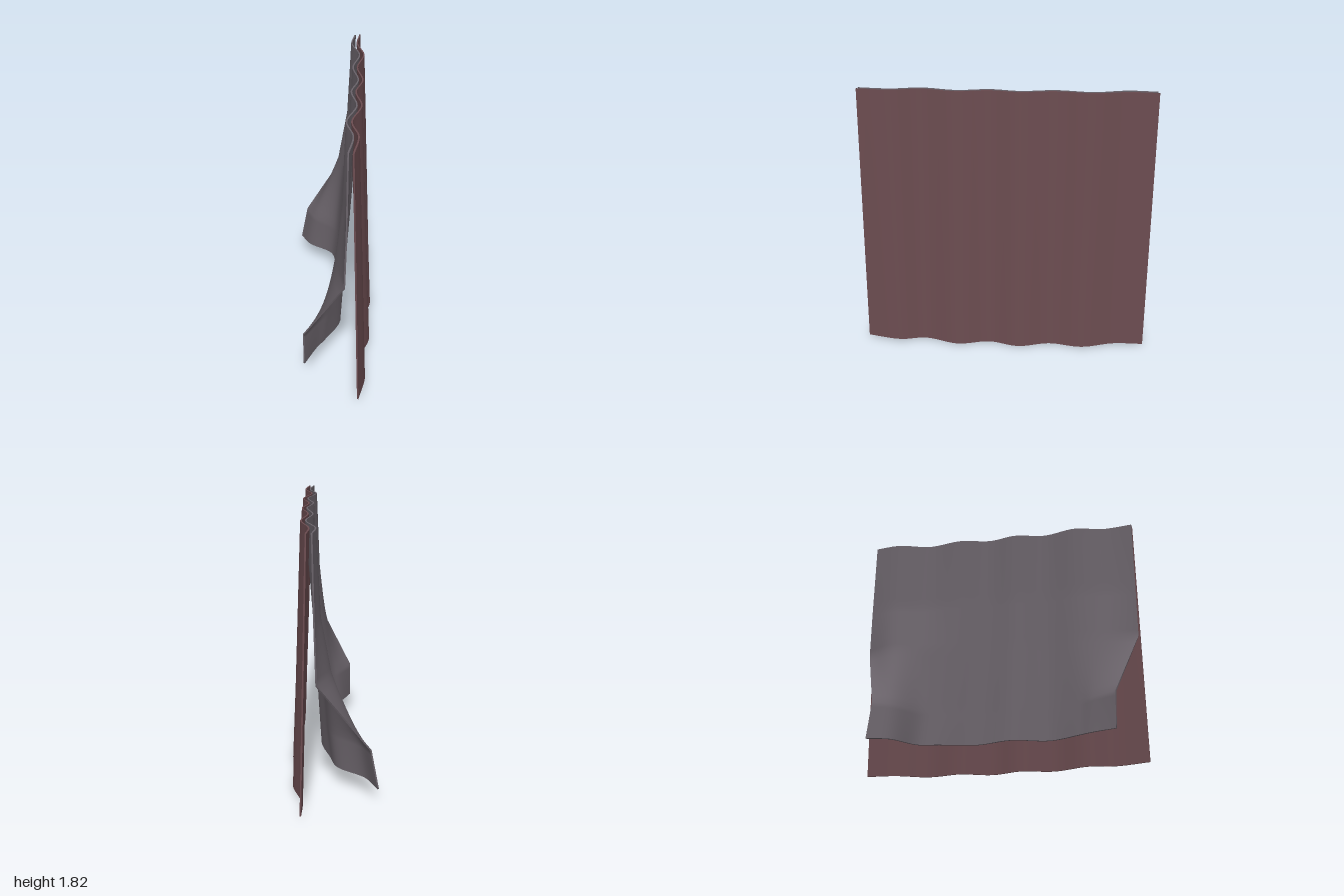
import * as THREE from 'three';

const ACROSS = 72, PER_ROW = 8, THICKNESS = 0.01;

// Thin cloth shell lofted through rows of [x, z] points, each row at its own height
function clothSheet(rows, hem, color, name) {
  const curves = rows.map(r => new THREE.CatmullRomCurve3(
    r.points.map(([x, z]) => new THREE.Vector3(x, r.y, z))));
  const down = (rows.length - 1) * PER_ROW, stride = ACROSS + 1;
  const face = [], index = [];
  for (let j = 0; j <= down; j++) {
    const k = Math.min(Math.floor(j / PER_ROW), rows.length - 2);
    const t = j / PER_ROW - k;
    for (let i = 0; i <= ACROSS; i++) {
      const u = i / ACROSS;
      const p = curves[k].getPoint(u).lerp(curves[k + 1].getPoint(u), t);
      p.y += k === rows.length - 2 ? hem(u * 2 - 1) * t : 0;
      face.push(p.x, p.y, p.z);
    }
  }
  for (let j = 0; j < down; j++) for (let i = 0; i < ACROSS; i++) {
    const a = j * stride + i, b = a + 1, c = a + stride, d = c + 1;
    index.push(a, b, c, b, d, c);
  }
  const front = new THREE.BufferGeometry();
  front.setAttribute('position', new THREE.Float32BufferAttribute(face, 3));
  front.setIndex(index);
  front.computeVertexNormals();
  const n = front.attributes.normal.array, count = face.length / 3;

  // both faces, half the thickness to either side
  const position = [...face.map((v, i) => v + n[i] * THICKNESS / 2),
    ...face.map((v, i) => v - n[i] * THICKNESS / 2)];
  const all = [...index];
  for (let i = 0; i < index.length; i += 3) {
    all.push(index[i] + count, index[i + 2] + count, index[i + 1] + count);
  }
  // rim with its own vertices so the hem stays sharp
  const border = [];
  for (let i = 0; i < ACROSS; i++) border.push(i);
  for (let j = 0; j < down; j++) border.push(j * stride + ACROSS);
  for (let i = ACROSS; i > 0; i--) border.push(down * stride + i);
  for (let j = down; j > 0; j--) border.push(j * stride);
  const base = position.length / 3;
  for (const v of border) for (const side of [0, count]) {
    const q = (v + side) * 3;
    position.push(position[q], position[q + 1], position[q + 2]);
  }
  border.forEach((_, i) => {
    const a = base + i * 2, b = base + ((i + 1) % border.length) * 2;
    all.push(a, a + 1, b, b, a + 1, b + 1);
  });
  const geometry = new THREE.BufferGeometry();
  geometry.setAttribute('position', new THREE.Float32BufferAttribute(position, 3));
  geometry.setIndex(all);
  geometry.computeVertexNormals();
  const mesh = new THREE.Mesh(geometry,
    new THREE.MeshStandardMaterial({ color, side: THREE.DoubleSide }));
  mesh.name = name;
  return mesh;
}

export function createModel() {
  const group = new THREE.Group();
  group.name = 'hangingCloth';

  // straight outer panel with soft vertical pleats
  group.add(clothSheet([
    { y: 1.828, points: [[0.165, -0.995], [0.15, -0.8], [0.2, -0.57], [0.16, -0.32], [0.2, -0.09],
      [0.16, 0.11], [0.2, 0.33], [0.145, 0.57], [0.19, 0.77], [0.165, 0.995]] },
    { y: 0.005, points: [[0.215, -0.975], [0.21, -0.77], [0.27, -0.54], [0.23, -0.31], [0.283, -0.09],
      [0.23, 0.12], [0.28, 0.34], [0.215, 0.58], [0.255, 0.76], [0.215, 0.995]] },
  ], s => 0.014 * s * s, 0x6b4c50, 'outerPanel'));

  // inner panel whose lower corners fold outwards
  group.add(clothSheet([
    { y: 1.828, points: [[0.13, -0.985], [0.11, -0.8], [0.17, -0.57], [0.13, -0.32], [0.17, -0.09],
      [0.13, 0.11], [0.17, 0.33], [0.113, 0.57], [0.158, 0.77], [0.135, 0.99]] },
    { y: 1.28, points: [[0.12, -0.985], [0.085, -0.8], [0.13, -0.57], [0.11, -0.32], [0.145, -0.09],
      [0.11, 0.11], [0.145, 0.32], [0.095, 0.57], [0.12, 0.78], [0.13, 0.985]] },
    { y: 0.9, points: [[0.11, -0.98], [0.02, -0.78], [0.06, -0.57], [0.08, -0.33], [0.12, -0.1],
      [0.08, 0.11], [0.12, 0.32], [0.06, 0.57], [0.06, 0.76], [0.12, 0.98]] },
    { y: 0.4, points: [[-0.235, -0.82], [-0.17, -0.69], [0, -0.53], [0.045, -0.36], [0.09, -0.13],
      [0.035, 0.1], [0.085, 0.33], [0, 0.56], [-0.06, 0.65], [-0.15, 0.81]] },
    { y: 0.16, points: [[-0.285, -0.83], [-0.21, -0.69], [-0.03, -0.55], [0.015, -0.41], [0.075, -0.16],
      [0.015, 0.09], [0.07, 0.34], [-0.025, 0.55], [-0.08, 0.64], [-0.15, 0.8]] },
  ], s => -(s < 0 ? 0.028 : 0.015) * s * s, 0x6a636a, 'foldedPanel'));

  return group;
}
